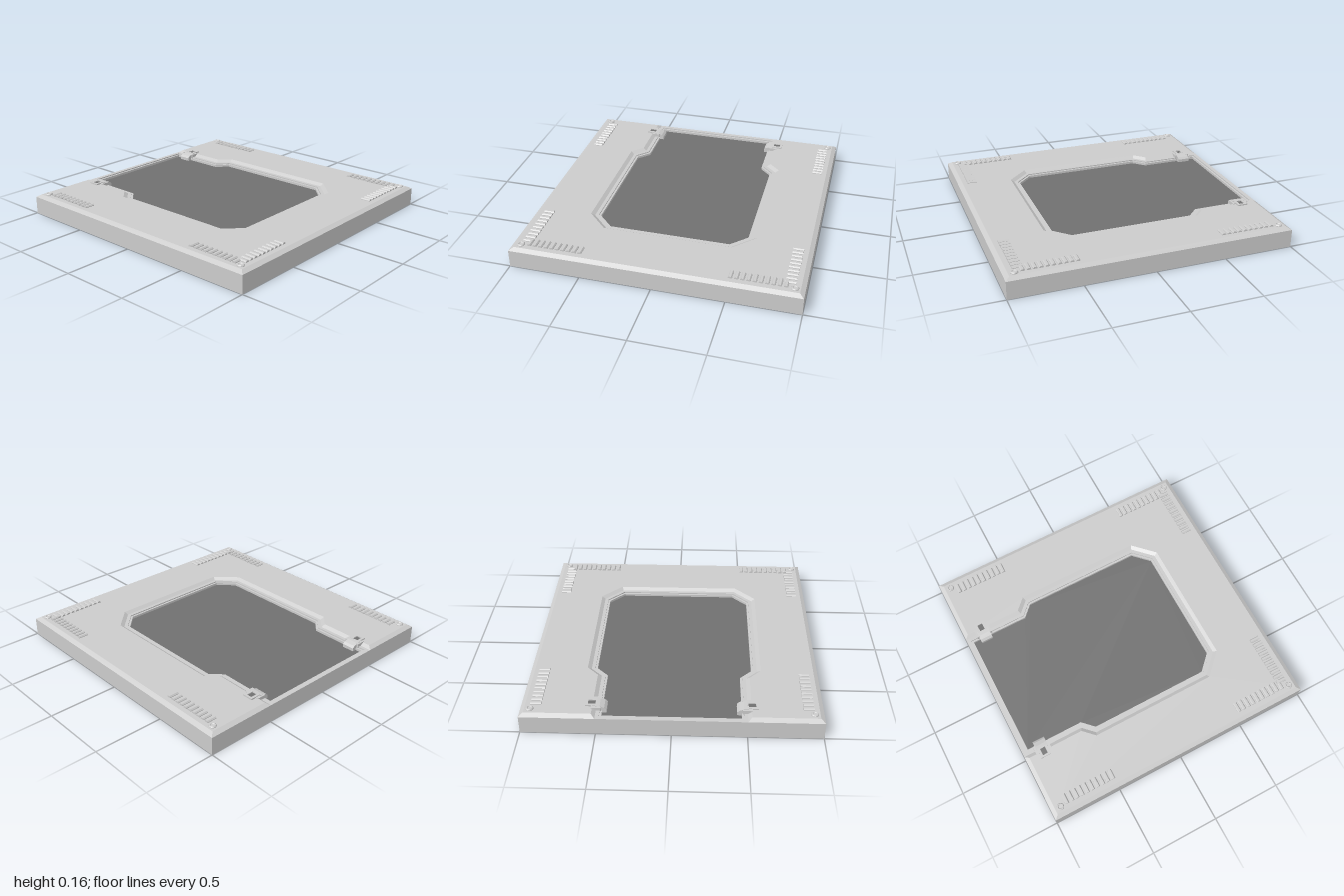
import * as THREE from 'three';

const grey = new THREE.MeshStandardMaterial({ color: 0xcccccc, flatShading: true });
const dark = new THREE.MeshStandardMaterial({ color: 0x707070, flatShading: true });

const SIDE = 0.127, TOP = 0.145, FLOOR = 0.1;

function add(parent, name, geometry, material = grey) {
  const mesh = new THREE.Mesh(geometry, material);
  mesh.name = name;
  parent.add(mesh);
  return mesh;
}

const toShape = (pts) => new THREE.Shape(pts.map(([x, y]) => new THREE.Vector2(x, y)));

// Flat slab: plan outline with optional hole, from height y0 to y1
function slab(outline, hole, y0, y1) {
  const shape = toShape(outline);
  if (hole) shape.holes.push(toShape(hole));
  return new THREE.ExtrudeGeometry(shape, { depth: y1 - y0, bevelEnabled: false })
    .rotateX(-Math.PI / 2).translate(0, y0, 0);
}

const rect = (w, h, cx = 0, cy = 0) => [
  [cx - w / 2, cy - h / 2], [cx + w / 2, cy - h / 2], [cx + w / 2, cy + h / 2], [cx - w / 2, cy + h / 2],
];

// Recess outline grown outward by d; the left end sits at x = left
function recess(d, left = -0.955 - d) {
  const k = 0.414 * d;
  const half = [
    [left, 0.46 + d], [-0.53 - k, 0.46 + d], [-0.45 - k, 0.54 + d],
    [0.43 + k, 0.54 + d], [0.54 + d, 0.43 + k],
  ];
  return [...half, ...half.map(([x, y]) => [x, -y]).reverse()];
}

// Chamfered C-shaped top plate, open to the left side
function topPlate() {
  const ring = (s, d) => [[-s, -s], [s, -s], [s, s], [-s, s], ...recess(d, -s)];
  const low = ring(1, 0.04), high = ring(0.97, 0.065);
  const pos = [];
  const put = ([x, y], h) => pos.push(x, h, -y);
  low.forEach((a, i) => {
    const j = (i + 1) % low.length;
    put(a, SIDE); put(low[j], SIDE); put(high[j], TOP);
    put(a, SIDE); put(high[j], TOP); put(high[i], TOP);
  });
  const rim = new THREE.BufferGeometry();
  rim.setAttribute('position', new THREE.Float32BufferAttribute(pos, 3));
  rim.computeVertexNormals();
  const face = new THREE.ShapeGeometry(toShape(high)).rotateX(-Math.PI / 2).translate(0, TOP, 0);
  return { rim, face };
}

// Small ridge with sloping sides, running along z
function ridgeGeometry() {
  const profile = toShape([[-0.014, -0.002], [0.014, -0.002], [0.014, 0.004], [0.007, 0.012], [-0.007, 0.012], [-0.014, 0.004]]);
  return new THREE.ExtrudeGeometry(profile, { depth: 0.072, bevelEnabled: false }).translate(0, 0, -0.036);
}

// Row of ten ridges; alongZ lays the row down a side edge
function ridgeRow(parent, name, sx, sz, alongZ) {
  const row = new THREE.Group();
  row.name = name;
  const geometry = ridgeGeometry();
  for (let i = 0; i < 10; i++) {
    const t = 0.514 + i * 0.0402;
    const ridge = add(row, 'ridge', geometry);
    if (alongZ) {
      ridge.rotation.y = Math.PI / 2;
      ridge.position.set(sx * 0.898, TOP, sz * t);
    } else {
      ridge.position.set(sx * t, TOP, sz * 0.9);
    }
  }
  parent.add(row);
}

// Latch that grips the recess edge, modelled for the +z side
function latch() {
  const group = new THREE.Group();
  group.name = 'latch';
  const side = toShape([
    [0.505, 0.125], [0.505, 0.154], [0.475, 0.151], [0.445, 0.14], [0.43, 0.125], [0.43, FLOOR], [0.475, FLOOR],
  ]);
  const nose = new THREE.ExtrudeGeometry(side, { depth: 0.09, bevelEnabled: false })
    .rotateY(-Math.PI / 2).translate(0.045, 0, 0);
  add(group, 'latchNose', nose);
  add(group, 'latchFrame', slab(rect(0.075, 0.075, 0, -0.533), rect(0.038, 0.054, 0, -0.528), 0.12, 0.154));
  add(group, 'latchSocket', new THREE.BoxGeometry(0.04, 0.02, 0.056).translate(0, 0.137, 0.528), dark);
  for (const s of [-1, 1]) {
    add(group, 'latchArm', new THREE.BoxGeometry(0.022, 0.045, 0.065).translate(s * 0.047, 0.1275, 0.5));
  }
  return group;
}

export function createModel() {
  const model = new THREE.Group();
  model.name = 'floorTile';

  // Body in layers: solid base, stepped recess wall, chamfered top
  add(model, 'base', slab(rect(2, 2), null, 0, FLOOR));
  add(model, 'recessWall', slab(rect(2, 2), recess(0), FLOOR, 0.119));
  add(model, 'recessLedge', slab(rect(2, 2), recess(0.015), 0.119, SIDE));
  const { rim, face } = topPlate();
  add(model, 'topRim', rim);
  add(model, 'topFace', face);
  add(model, 'recessFloor', new THREE.ShapeGeometry(toShape(recess(0)))
    .rotateX(-Math.PI / 2).translate(0, FLOOR + 0.002, 0), dark).material.side = THREE.DoubleSide;

  // Corner ridges and bolts
  const bolt = new THREE.LatheGeometry(
    [[0, 0.005], [0.012, 0.005], [0.016, 0.01], [0.021, 0.01], [0.026, 0.004], [0.026, -0.002]]
      .reverse().map(([r, y]) => new THREE.Vector2(r, y)), 16);
  for (const sz of [-1, 1]) {
    for (const sx of [-1, 1]) {
      ridgeRow(model, 'ridgeRow', sx, sz, false);
      add(model, 'bolt', bolt).position.set(sx * 0.93, TOP, sz * 0.933);
    }
    ridgeRow(model, 'sideRidgeRow', 1, sz, true);

    // Latches at the open end
    const clip = latch();
    clip.position.x = -0.858;
    if (sz < 0) clip.rotation.y = Math.PI;
    model.add(clip);
  }
  return model;
}
